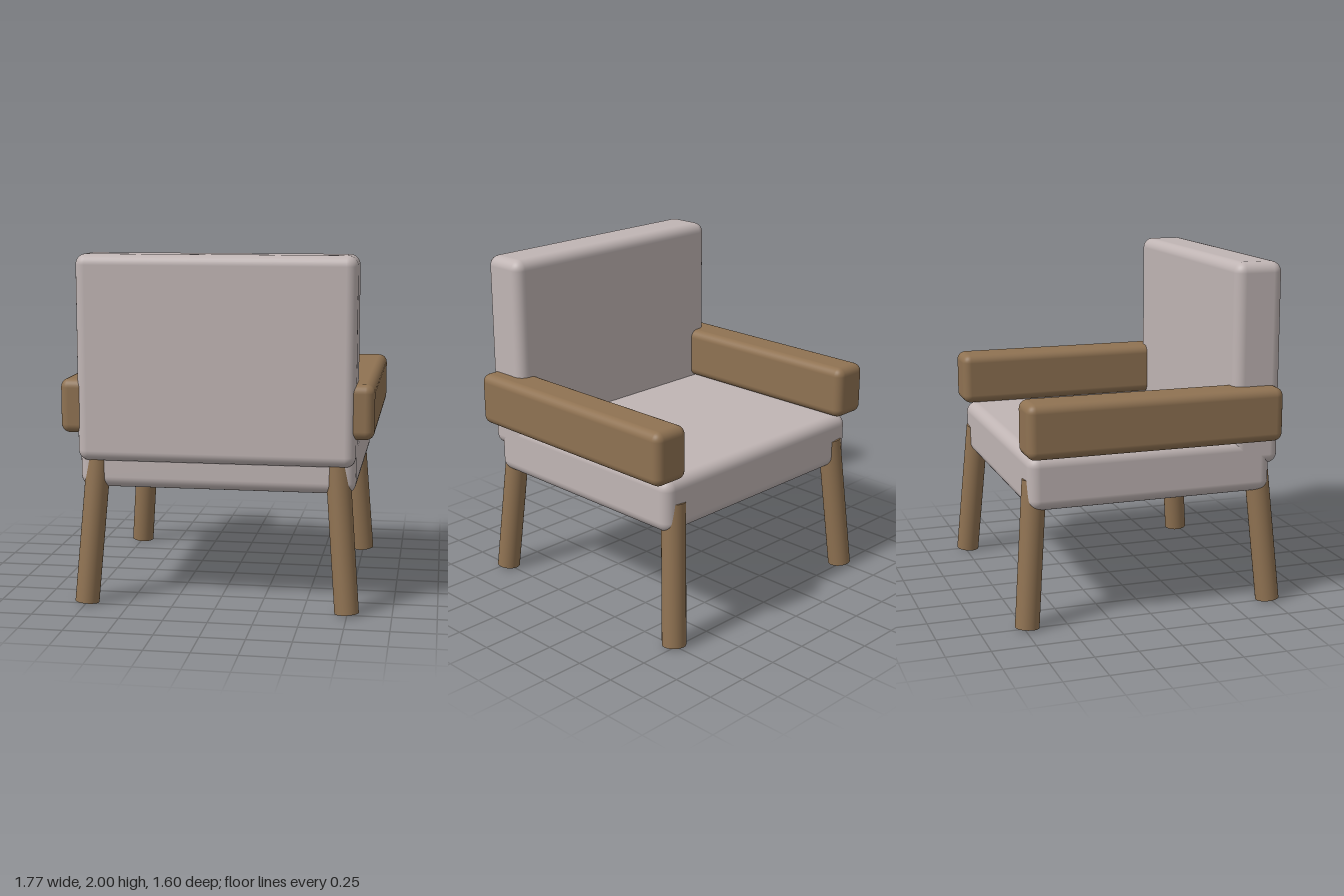
import * as THREE from 'three';
import { RoundedBoxGeometry } from 'three/addons/geometries/RoundedBoxGeometry.js';

export function createModel() {
  const chair = new THREE.Group();
  chair.name = 'armchair';

  const fabric = new THREE.MeshStandardMaterial({ color: 0xc0b5b4 });
  fabric.name = 'paleFabric';
  const wood = new THREE.MeshStandardMaterial({ color: 0x8f7252 });
  wood.name = 'brownWood';

  // Rounded block given by its minimum and maximum corners
  function block(name, material, min, max, radius) {
    const size = max.map((v, i) => v - min[i]);
    const mesh = new THREE.Mesh(new RoundedBoxGeometry(...size, 4, radius), material);
    mesh.position.set(...max.map((v, i) => (v + min[i]) / 2));
    mesh.name = name;
    chair.add(mesh);
  }

  // Cushions; the backrest sits at the +z end
  block('seat', fabric, [-0.785, 0.675, -0.72], [0.785, 0.99, 0.72], 0.065);
  block('backrest', fabric, [-0.785, 0.835, 0.485], [0.785, 2.0, 0.77], 0.06);

  // Armrests
  block('leftArmrest', wood, [0.655, 0.99, -0.75], [0.885, 1.3, 0.75], 0.05);
  block('rightArmrest', wood, [-0.885, 0.99, -0.75], [-0.655, 1.3, 0.75], 0.05);

  // Splayed round legs, poking slightly out of the seat corners
  const up = new THREE.Vector3(0, 1, 0);
  for (const sx of [-1, 1]) {
    for (const sz of [-1, 1]) {
      const foot = new THREE.Vector3(sx * 0.747, 0.008, sz * 0.733);
      const top = new THREE.Vector3(sx * 0.682, 0.84, sz * 0.665);
      const axis = top.clone().sub(foot);
      const leg = new THREE.Mesh(new THREE.CylinderGeometry(0.069, 0.069, axis.length(), 32), wood);
      leg.position.copy(foot).add(top).multiplyScalar(0.5);
      leg.quaternion.setFromUnitVectors(up, axis.normalize());
      leg.name = (sz > 0 ? 'front' : 'back') + (sx > 0 ? 'Left' : 'Right') + 'Leg';
      chair.add(leg);
    }
  }
  return chair;
}
